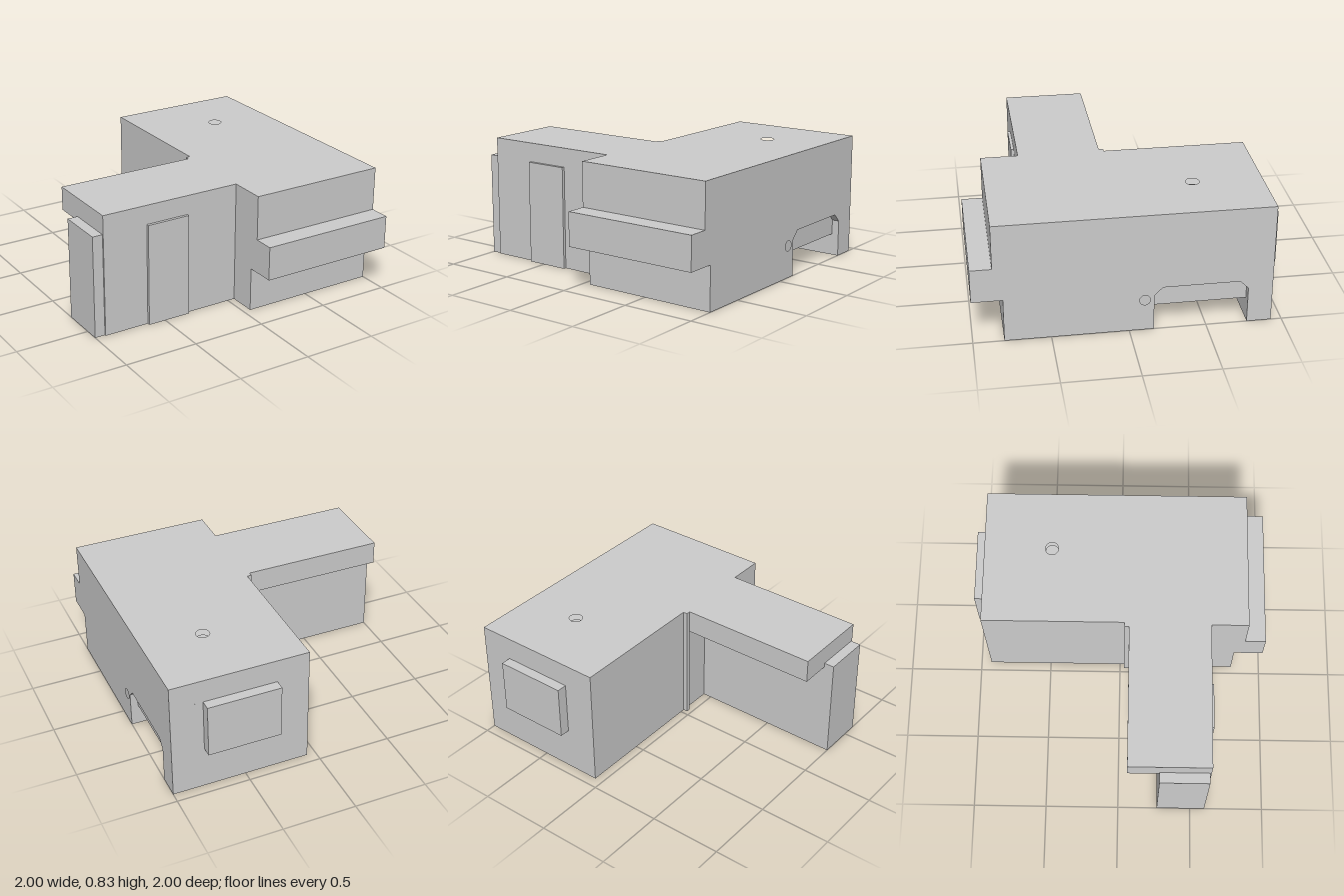
import * as THREE from 'three';

const material = new THREE.MeshStandardMaterial({ color: 0xcccccc, flatShading: true });

export function createModel() {
  const model = new THREE.Group();
  model.name = 'building';

  const add = (name, geometry) => {
    const mesh = new THREE.Mesh(geometry, material);
    mesh.name = name;
    model.add(mesh);
    return mesh;
  };

  // Box given by its limits on each axis
  const box = (name, x0, x1, y0, y1, z0, z1) =>
    add(name, new THREE.BoxGeometry(x1 - x0, y1 - y0, z1 - z0)
      .translate((x0 + x1) / 2, (y0 + y1) / 2, (z0 + z1) / 2));

  const outline = (points, hole) => {
    const shape = new THREE.Shape(points.map(([a, b]) => new THREE.Vector2(a, b)));
    if (hole) shape.holes.push(new THREE.Path().absarc(hole[0], hole[1], hole[2], 0, Math.PI * 2, true));
    return shape;
  };
  const extrude = (shape, depth) =>
    new THREE.ExtrudeGeometry(shape, { depth, bevelEnabled: false, curveSegments: 16 });

  // Side profile of [z, y] points, extruded from x0 to x1
  const slab = (name, points, x0, x1, hole) =>
    add(name, extrude(outline(points.map(([z, y]) => [-z, y]), hole && [-hole[0], hole[1], hole[2]]), x1 - x0)
      .rotateY(Math.PI / 2).translate(x0, 0, 0));

  // Floor plan of [x, z] points, extruded from y0 to y1
  const plan = (name, points, y0, y1, hole) =>
    add(name, extrude(outline(points.map(([x, z]) => [x, -z]), hole && [hole[0], -hole[1], hole[2]]), y1 - y0)
      .rotateX(-Math.PI / 2).translate(0, y0, 0));

  // Main block: stepped front, optional cut-out in the bottom edge
  const eaves = 0.67, top = 0.83;
  const profile = (back, cutout = []) => [
    [back, 0], ...cutout, [0.8, 0], [0.8, 0.3], [1, 0.3], [1, 0.53], [0.86, 0.53], [0.86, eaves], [back, eaves],
  ];
  const recess = [[-0.77, 0], [-0.77, 0.15], [-0.16, 0.15], [-0.16, 0]];
  const arch = [[-0.77, 0], [-0.77, 0.25], [-0.715, 0.305], [-0.215, 0.305], [-0.16, 0.25], [-0.16, 0]];
  slab('frontCornerTrim', profile(0.61), 0.05, 0.06);
  slab('innerBlock', profile(-0.93), 0.06, 0.33);
  slab('recessBlock', profile(-0.93, recess), 0.33, 0.95);
  slab('archWall', profile(-0.93, arch), 0.95, 1, [-0.1, 0.22, 0.035]);

  // Chamfered inner corners of the recess
  for (const [z, dir] of [[-0.16, -1], [-0.77, 1]]) {
    plan('recessCorner', [[0.33, z], [0.385, z], [0.33, z + dir * 0.055]], 0, 0.15);
  }

  // Roof over both wings, with a shallow round socket
  plan('roof', [
    [0.06, -0.93], [1, -0.93], [1, 0.86], [0.05, 0.86], [0.05, 0.61], [-0.93, 0.61], [-0.93, 0.06], [0.06, 0.06],
  ], eaves, top, [0.59, -0.47, 0.045]);
  add('roofSocketFloor', new THREE.CircleGeometry(0.045, 32).rotateX(-Math.PI / 2).translate(0.59, 0.79, -0.47));

  // Side wing set back under the roof overhang
  box('wing', -0.93, 0.06, 0, eaves, 0.27, 0.61);
  box('wingEndPanel', -1, -0.93, 0, 0.7, 0.27, 0.6);
  box('door', -0.62, -0.32, 0, 0.7, 0.61, 0.63);

  // Back panel and corner post
  box('backPanel', 0.28, 0.78, 0.3, 0.67, -1, -0.93);
  box('cornerPost', 0.03, 0.06, 0, top, 0.03, 0.06);

  return model;
}
